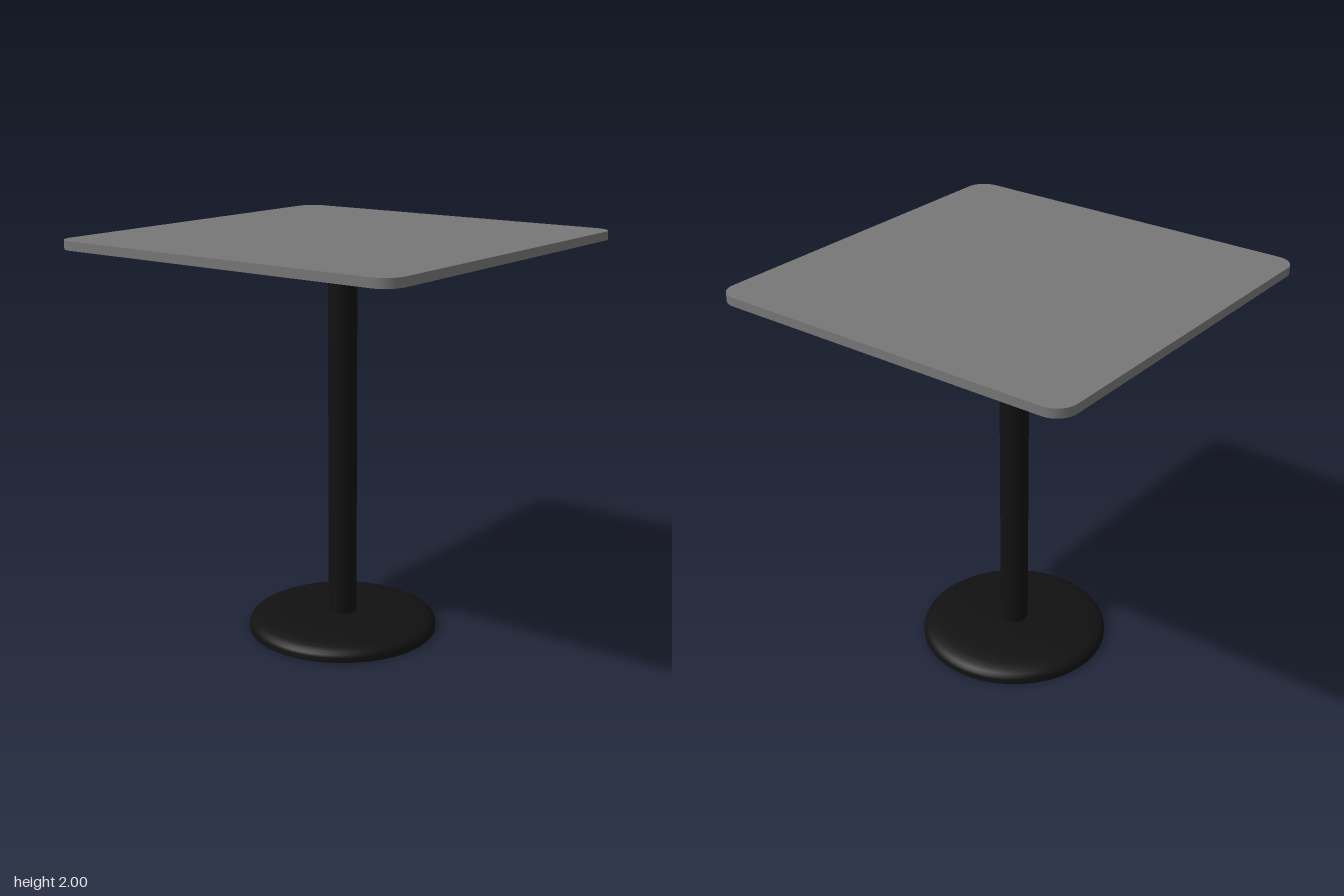
import * as THREE from 'three';
import { toCreasedNormals } from 'three/addons/utils/BufferGeometryUtils.js';

const topMaterial = new THREE.MeshStandardMaterial({ color: 0x777777 });
const metalMaterial = new THREE.MeshStandardMaterial({ color: 0x111111 });

// Square outline with rounded corners
function roundedSquare(half, r) {
  const s = new THREE.Shape();
  const c = half - r;
  s.absarc(c, c, r, 0, Math.PI / 2);
  s.absarc(-c, c, r, Math.PI / 2, Math.PI);
  s.absarc(-c, -c, r, Math.PI, Math.PI * 1.5);
  s.absarc(c, -c, r, Math.PI * 1.5, Math.PI * 2);
  s.closePath();
  return s;
}

export function createModel() {
  const model = new THREE.Group();
  model.name = 'pedestalTable';

  function add(name, geometry, material, y = 0) {
    const mesh = new THREE.Mesh(geometry, material);
    mesh.name = name;
    mesh.position.y = y;
    model.add(mesh);
  }

  // Table top, extruded upward
  const top = new THREE.ExtrudeGeometry(roundedSquare(0.952, 0.1), {
    depth: 0.043, bevelEnabled: false, curveSegments: 12,
  });
  top.rotateX(-Math.PI / 2);
  add('tableTop', toCreasedNormals(top, 0.5), topMaterial, 1.957);

  // Backing panel and mounting plate under the top
  add('backingPanel', new THREE.BoxGeometry(1.428, 0.048, 1.428), topMaterial, 1.933);
  add('mountingPlate', new THREE.BoxGeometry(0.476, 0.012, 0.476), metalMaterial, 1.903);

  // Column
  add('column', new THREE.CylinderGeometry(0.071, 0.071, 1.82, 48), metalMaterial, 0.99);

  // Domed foot
  const profile = [
    [0, 0], [0.476, 0], [0.476, 0.025], [0.471, 0.038], [0.458, 0.05], [0.435, 0.061],
    [0.4, 0.07], [0.35, 0.077], [0.29, 0.081], [0.22, 0.084], [0, 0.085],
  ].map(([x, y]) => new THREE.Vector2(x, y));
  add('foot', toCreasedNormals(new THREE.LatheGeometry(profile, 64), 0.7), metalMaterial);

  return model;
}
